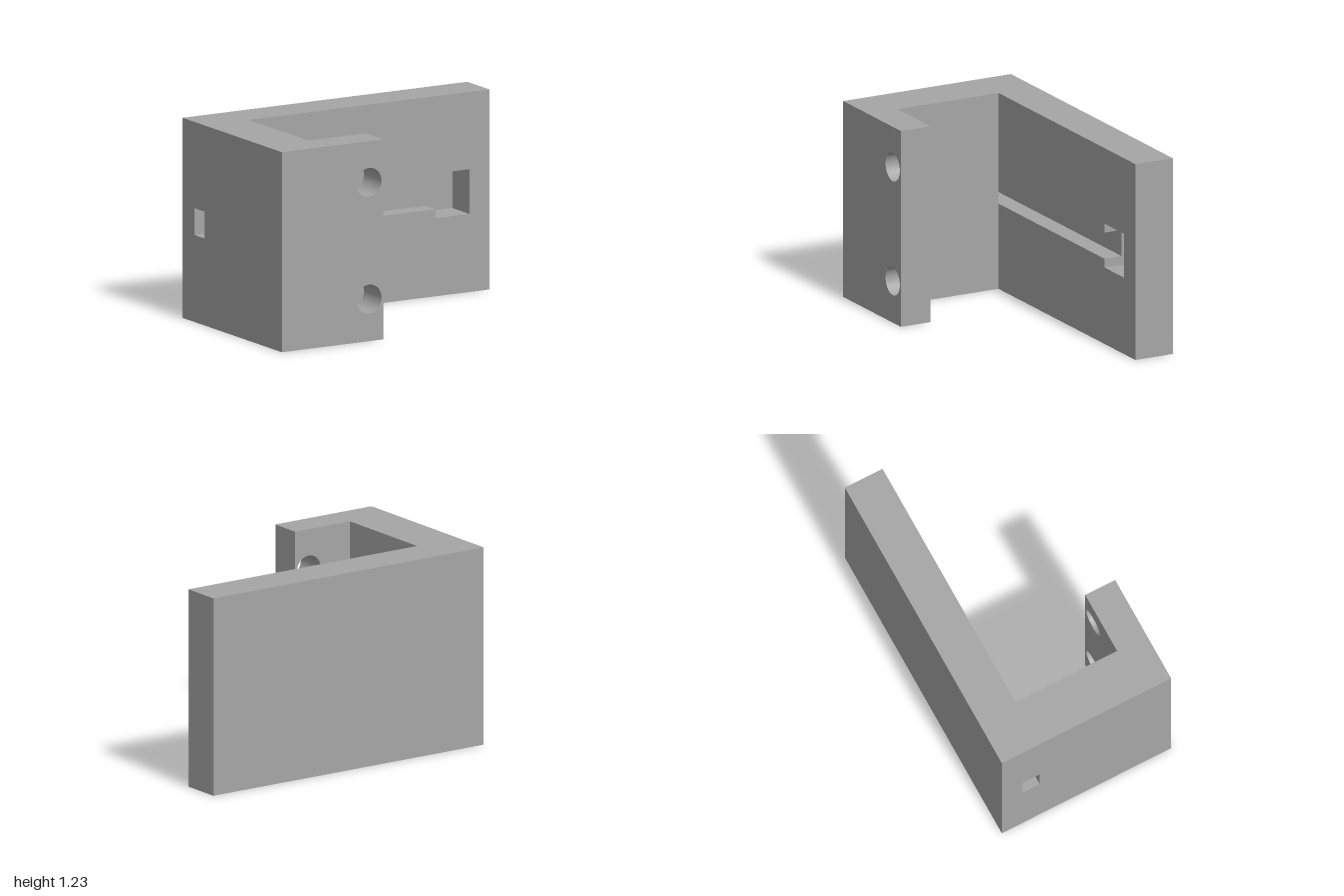
import * as THREE from 'three';

const HEIGHT = 1.23;
const SLOT = { x: 0.62, y0: 0.535, y1: 0.7 };
const POCKET = { x0: 0.62, x1: 0.86, y0: 0.48, y1: 0.755 };
const HOLE = { x: -0.388, ys: [0.26, 0.977], r: 0.088 };

// Closed outline through a few corner points
const outline = (pts) => new THREE.Shape(pts.map(([x, y]) => new THREE.Vector2(x, y)));
const rect = (x0, x1, y0 = 0, y1 = HEIGHT) => outline([[x0, y0], [x1, y0], [x1, y1], [x0, y1]]);

export function createModel() {
  const group = new THREE.Group();
  const grey = new THREE.MeshStandardMaterial({ color: 0xa6a6a6 });
  grey.name = 'grey';

  // Extrudes a front outline between two depths
  const addSlab = (name, shape, z0, z1) => {
    const geometry = new THREE.ExtrudeGeometry(shape, { depth: z1 - z0, bevelEnabled: false, curveSegments: 32 });
    geometry.translate(0, 0, z0);
    const mesh = new THREE.Mesh(geometry, grey);
    mesh.name = name;
    group.add(mesh);
  };

  // Back plate: solid skin behind the pocket
  addSlab('backPlateSkin', rect(-1, 1), -0.577, -0.52);

  // Deep half of the square pocket
  const pocketLayer = rect(-1, 1);
  pocketLayer.holes.push(rect(POCKET.x0, POCKET.x1, POCKET.y0, POCKET.y1));
  addSlab('backPlatePocketLayer', pocketLayer, -0.52, -0.437);

  // Slot running from the pocket out through the side wall
  addSlab('backPlateSlotLayer', outline([
    [-1, 0], [1, 0], [1, HEIGHT], [-1, HEIGHT],
    [-1, SLOT.y1], [SLOT.x, SLOT.y1],
    [POCKET.x0, POCKET.y1], [POCKET.x1, POCKET.y1],
    [POCKET.x1, POCKET.y0], [POCKET.x0, POCKET.y0],
    [SLOT.x, SLOT.y0], [-1, SLOT.y0],
  ]), -0.437, -0.32);

  // Side wall joining plate and flange
  addSlab('sideWall', rect(-1, -0.693), -0.32, 0.373);

  // Front flange with two screw holes
  const flange = rect(-1, -0.287);
  for (const y of HOLE.ys) {
    flange.holes.push(new THREE.Path().absarc(HOLE.x, y, HOLE.r, 0, Math.PI * 2, true));
  }
  addSlab('frontFlange', flange, 0.373, 0.577);

  return group;
}
